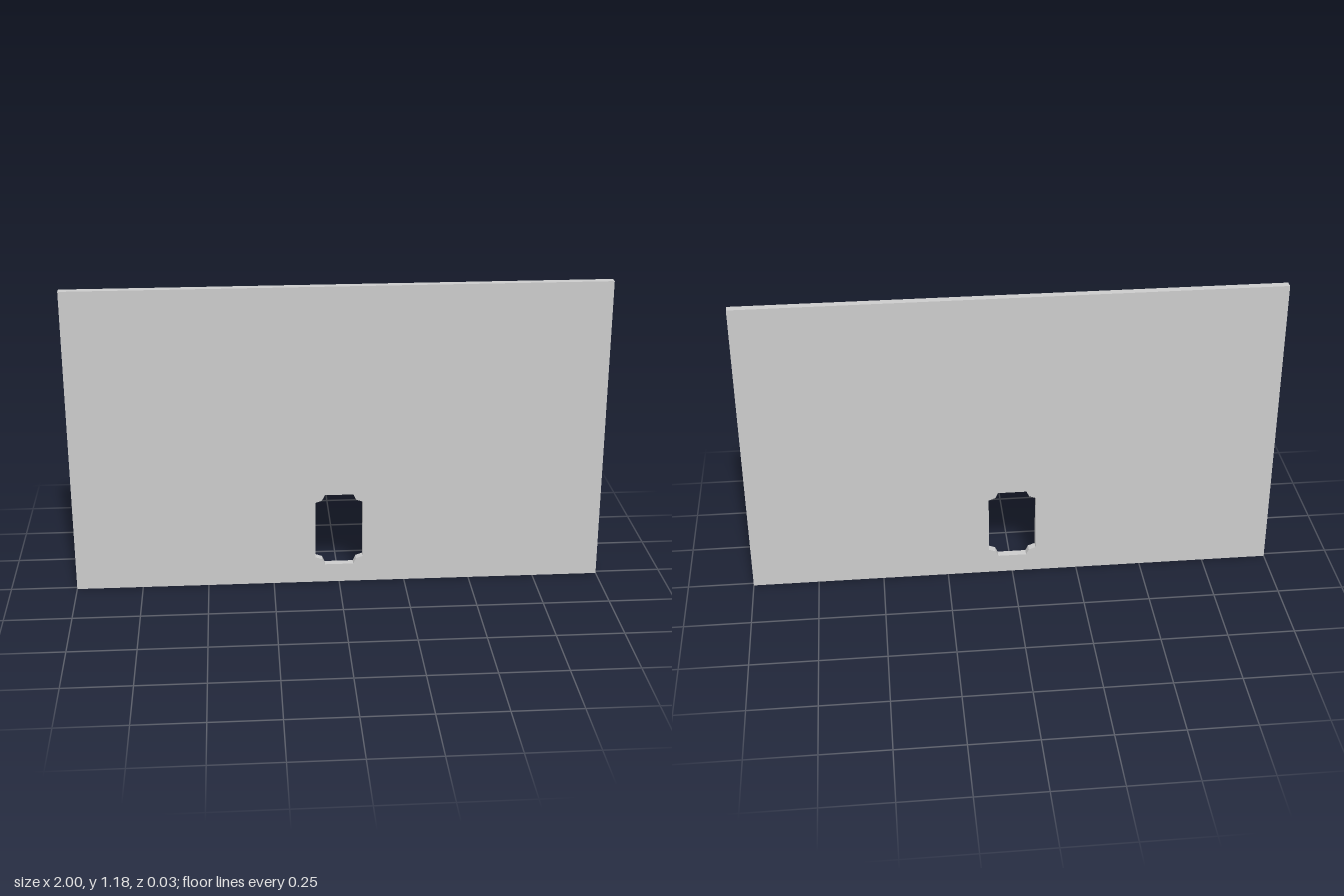
import * as THREE from 'three';

const WIDTH = 2, HEIGHT = 1.176, DEPTH = 0.029;

// Rectangular opening whose corners are scooped inward by faceted quarter arcs
function scallopedOpening(halfW, bottom, top, rx, ry, segments) {
  const points = [];
  const corners = [[halfW, bottom, Math.PI], [halfW, top, -Math.PI / 2], [-halfW, top, 0], [-halfW, bottom, Math.PI / 2]];
  for (const [cx, cy, start] of corners) {
    for (let i = 0; i <= segments; i++) {
      const a = start - (i / segments) * (Math.PI / 2);
      points.push(new THREE.Vector2(cx + rx * Math.cos(a), cy + ry * Math.sin(a)));
    }
  }
  return new THREE.Path(points);
}

export function createModel() {
  const group = new THREE.Group();
  group.name = 'wallPanel';

  // Flat panel outline
  const outline = new THREE.Shape();
  outline.moveTo(-WIDTH / 2, 0);
  outline.lineTo(WIDTH / 2, 0);
  outline.lineTo(WIDTH / 2, HEIGHT);
  outline.lineTo(-WIDTH / 2, HEIGHT);
  outline.closePath();

  // Opening near the bottom edge
  outline.holes.push(scallopedOpening(0.09, 0.073, 0.362, 0.036, 0.031, 2));

  const geometry = new THREE.ExtrudeGeometry(outline, { depth: DEPTH, bevelEnabled: false });
  geometry.translate(0, 0, -DEPTH / 2);
  const material = new THREE.MeshStandardMaterial({ color: 0xcccccc, flatShading: true });
  const panel = new THREE.Mesh(geometry, material);
  panel.name = 'panelWithOpening';
  group.add(panel);
  return group;
}
